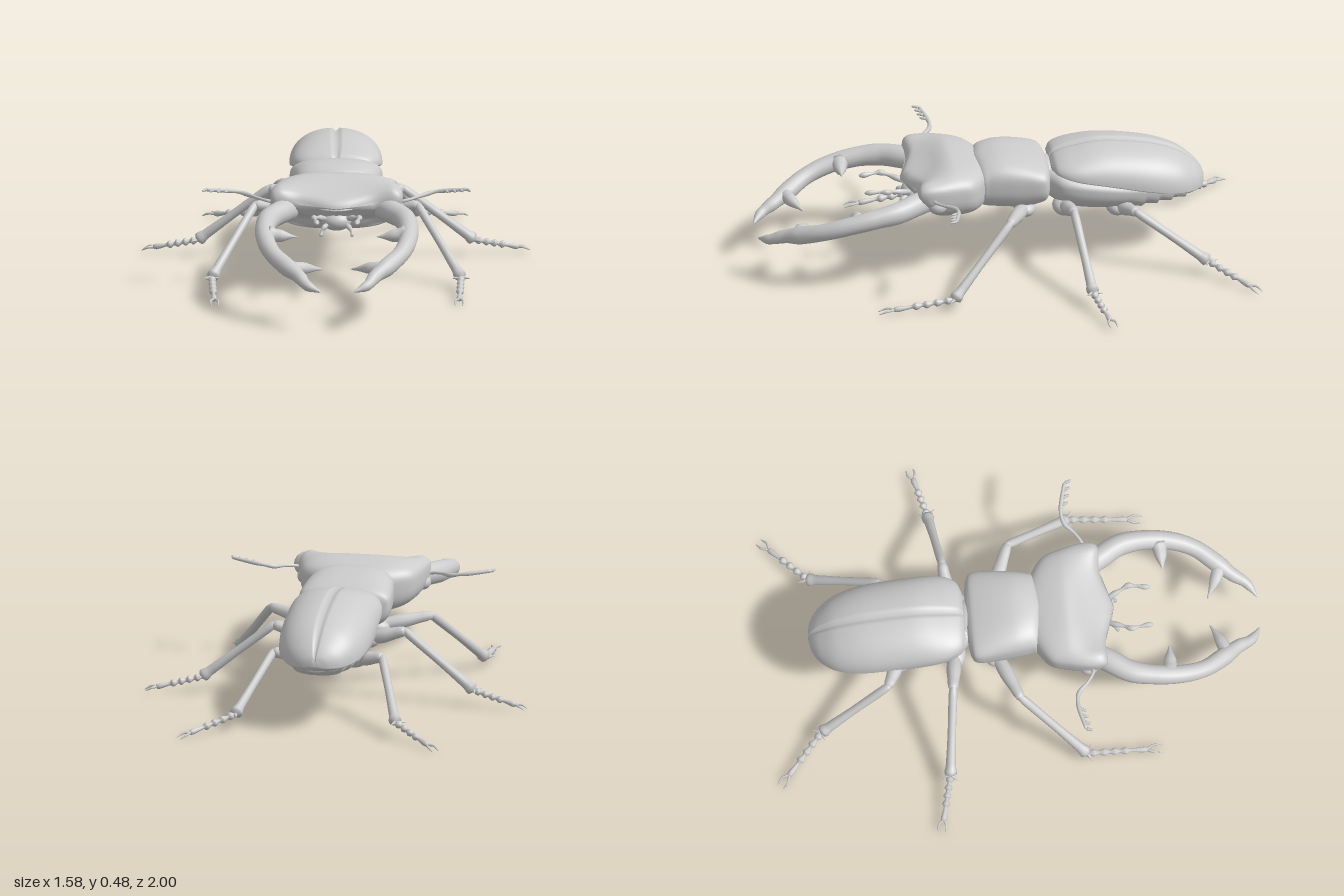
import * as THREE from 'three';
import { mergeVertices } from 'three/addons/utils/BufferGeometryUtils.js';

const material = new THREE.MeshStandardMaterial({ color: 0xcccccc, roughness: 0.7 });

function part(name, geometry) {
  const mesh = new THREE.Mesh(geometry, material);
  mesh.name = name;
  return mesh;
}

// Smooth body from rows [z, halfWidth, topY, midY, bottomY] in ascending z.
function loft(rows, { power = 0.85, steps = 48, sides = 56, deform = () => {} } = {}) {
  const spline = new THREE.CubicInterpolant(rows.map((_, i) => i), rows.flat(), 5, new Float32Array(5));
  const positions = [], index = [], p = new THREE.Vector3();
  const bend = (v) => Math.sign(v) * Math.pow(Math.abs(v) < 1e-9 ? 0 : Math.abs(v), power);
  const add = (x, y, z, mid) => { p.set(x, y, z); deform(p, mid); positions.push(p.x, p.y, p.z); };
  for (let i = 0; i <= steps; i++) {
    const [z, w, top, mid, bottom] = spline.evaluate((i / steps) * (rows.length - 1));
    for (let j = 0; j < sides; j++) {
      const a = (j / sides) * Math.PI * 2, s = bend(Math.sin(a));
      add(w * bend(Math.cos(a)), mid + s * (s > 0 ? top - mid : mid - bottom), z, mid);
    }
  }
  for (let i = 0; i < steps; i++) for (let j = 0; j < sides; j++) {
    const k = (j + 1) % sides, a = i * sides + j, b = i * sides + k;
    index.push(a, b, a + sides, b, b + sides, a + sides);
  }
  // end caps
  const first = rows[0], last = rows[rows.length - 1], c = (steps + 1) * sides;
  add(0, first[3], first[0], first[3]);
  add(0, last[3], last[0], last[3]);
  for (let j = 0; j < sides; j++) {
    const k = (j + 1) % sides;
    index.push(c, k, j, c + 1, steps * sides + j, steps * sides + k);
  }
  const g = new THREE.BufferGeometry();
  g.setAttribute('position', new THREE.Float32BufferAttribute(positions, 3));
  g.setIndex(index);
  g.computeVertexNormals();
  return g;
}

// Tube of varying thickness through points [x, y, z, radius], on side s (+1 left, -1 right).
function limb(s, points, sides = 10, stepsPer = 6) {
  const full = [...points];
  const curve = new THREE.CatmullRomCurve3(full.map(([x, y, z]) => new THREE.Vector3(s * x, y, z)), false, 'centripetal');
  const n = (full.length - 1) * stepsPer;
  let g = new THREE.TubeGeometry(curve, n, 1, sides);
  const pos = g.attributes.position, v = new THREE.Vector3(), c = new THREE.Vector3();
  for (let i = 0; i <= n; i++) {
    const t = curve.getUtoTmapping(i / n) * (full.length - 1);
    const k = Math.min(Math.floor(t), full.length - 2);
    let r = THREE.MathUtils.lerp(full[k][3], full[k + 1][3], THREE.MathUtils.smoothstep(t - k, 0, 1));
    if (i === 0 || i === n) r = 0.0004;
    curve.getPointAt(i / n, c);
    for (let j = 0; j <= sides; j++) {
      const id = i * (sides + 1) + j;
      v.fromBufferAttribute(pos, id).sub(c).multiplyScalar(r).add(c);
      pos.setXYZ(id, v.x, v.y, v.z);
    }
  }
  g.deleteAttribute('uv');
  g.deleteAttribute('normal');
  g = mergeVertices(g, 1e-5);
  g.computeVertexNormals();
  return g;
}

function ball(name, s, [x, y, z], [rx, ry, rz]) {
  const mesh = part(name, new THREE.SphereGeometry(1, 24, 16));
  mesh.position.set(s * x, y, z);
  mesh.scale.set(rx, ry, rz);
  return mesh;
}

const mix = (a, b, t) => a.map((v, i) => v + (b[i] - v) * t);

// Leg: coxa, femur, tibia with end spurs, beaded foot and two claws.
function leg(name, s, { coxa, knee, ankle, toe }) {
  const g = new THREE.Group();
  g.name = name;
  g.add(ball('coxa', s, coxa, [0.065, 0.035, 0.045]));
  g.add(part('femur', limb(s, [
    [...coxa, 0.024], [...mix(coxa, knee, 0.45), 0.03], [...mix(coxa, knee, 0.85), 0.023], [...mix(coxa, knee, 1.06), 0.016]])));
  g.add(part('tibia', limb(s, [
    [...mix(knee, ankle, -0.05), 0.012], [...mix(knee, ankle, 0.08), 0.018], [...mix(knee, ankle, 0.5), 0.017],
    [...mix(knee, ankle, 0.88), 0.02], [...mix(knee, ankle, 0.97), 0.027], [...mix(knee, ankle, 1.02), 0.018]])));
  // sideways direction of the foot, for spurs and claws
  const dir = new THREE.Vector3(toe[0] - ankle[0], 0, toe[2] - ankle[2]).normalize();
  const offset = (p, along, across, up) => [p[0] + dir.x * along - dir.z * across, p[1] + up, p[2] + dir.z * along + dir.x * across];
  for (const side of [-1, 1]) {
    g.add(part('spur', limb(s, [[...ankle, 0.012], [...offset(ankle, 0.02, side * 0.038, 0.0), 0.002]], 6)));
    g.add(part('claw', limb(s, [[...mix(ankle, toe, 0.78), 0.006],
      [...offset(mix(ankle, toe, 0.88), 0, side * 0.015, 0.004), 0.005], [...offset(toe, 0, side * 0.014, -0.004), 0.002]], 6)));
  }
  const beads = [];
  for (let i = 0; i < 4; i++) {
    const t = i * 0.14;
    beads.push([...mix(ankle, toe, t), 0.007], [...mix(ankle, toe, t + 0.09), 0.0165]);
  }
  beads.push([...mix(ankle, toe, 0.56), 0.007], [...mix(ankle, toe, 0.74), 0.012], [...mix(ankle, toe, 0.81), 0.009]);
  g.add(part('foot', limb(s, beads, 8, 4)));
  return g;
}

export function createModel() {
  const model = new THREE.Group();
  model.name = 'stagBeetle';
  const { smoothstep } = THREE.MathUtils;

  // wing cases with a seam groove along the middle
  model.add(part('wingCases', loft([
    [-0.837, 0.015, 0.305, 0.29, 0.285], [-0.825, 0.065, 0.335, 0.285, 0.27], [-0.79, 0.115, 0.375, 0.285, 0.265],
    [-0.72, 0.16, 0.425, 0.295, 0.28], [-0.6, 0.185, 0.465, 0.32, 0.3], [-0.42, 0.188, 0.487, 0.36, 0.34],
    [-0.3, 0.182, 0.472, 0.385, 0.365], [-0.23, 0.15, 0.45, 0.4, 0.39], [-0.205, 0.1, 0.425, 0.405, 0.4],
  ], { sides: 96, power: 0.9, deform: (p, mid) => { if (p.y > mid && Math.abs(p.x) < 0.003) p.y -= 0.014; } })));

  // underside of the rear body with overlapping plates
  model.add(part('abdomen', loft([
    [-0.81, 0.05, 0.3, 0.28, 0.265], [-0.77, 0.1, 0.32, 0.28, 0.245], [-0.65, 0.15, 0.34, 0.3, 0.23],
    [-0.5, 0.17, 0.36, 0.31, 0.212], [-0.35, 0.17, 0.38, 0.33, 0.215], [-0.25, 0.15, 0.4, 0.34, 0.235],
    [-0.19, 0.1, 0.41, 0.34, 0.27],
  ], { steps: 110, deform: (p, mid) => {
    if (p.z > -0.52 || p.y > mid) return;
    const f = ((-p.z - 0.52) / 0.06) % 1;
    p.y -= 0.014 * f * (1 - smoothstep(f, 0.85, 1)) * smoothstep(mid - p.y, 0, 0.03);
  } })));
  model.add(ball('neck', 1, [0, 0.345, -0.19], [0.1, 0.075, 0.06]));

  // thorax shield
  model.add(part('thorax', loft([
    [-0.195, 0.1, 0.41, 0.37, 0.31], [-0.185, 0.16, 0.425, 0.37, 0.285], [-0.16, 0.187, 0.442, 0.375, 0.265],
    [-0.08, 0.184, 0.465, 0.38, 0.245], [0, 0.175, 0.475, 0.38, 0.25], [0.06, 0.165, 0.465, 0.375, 0.255],
    [0.09, 0.155, 0.445, 0.37, 0.27], [0.1, 0.1, 0.42, 0.36, 0.3],
  ], { power: 0.72, deform: (p) => { p.z += 0.015 * smoothstep(p.z, 0, 0.1) * (1 - Math.abs(p.x) / 0.12); } })));

  // broad head: raised corners, sloping brow and a pointed front edge
  model.add(part('head', loft([
    [0.06, 0.1, 0.42, 0.37, 0.3], [0.08, 0.16, 0.44, 0.37, 0.27], [0.13, 0.225, 0.458, 0.38, 0.255],
    [0.2, 0.25, 0.47, 0.39, 0.25], [0.28, 0.267, 0.467, 0.4, 0.26], [0.34, 0.265, 0.46, 0.4, 0.275],
    [0.365, 0.24, 0.44, 0.385, 0.3], [0.375, 0.15, 0.41, 0.37, 0.33],
  ], { power: 0.7, deform: (p, mid) => {
    const x = Math.abs(p.x) / 0.26, front = smoothstep(p.z, 0.27, 0.37);
    if (p.y > mid) p.y -= 0.055 * smoothstep(p.z, 0.2, 0.36) * Math.max(0, 1 - x * x * 1.3) * smoothstep(p.y - mid, 0, 0.05);
    else p.z -= 0.05 * front * smoothstep(mid - p.y, 0, 0.08);
    p.z += front * (0.03 * Math.exp(-x * x * 14) - 0.015 * Math.exp(-((x - 0.62) ** 2) * 20));
  } })));
  model.add(ball('mouth', 1, [0, 0.31, 0.35], [0.06, 0.04, 0.05]));

  const legs = [
    ['frontLeg', { coxa: [0.11, 0.255, -0.09], knee: [0.33, 0.29, 0.0], ankle: [0.505, 0.05, 0.255], toe: [0.495, 0.01, 0.565] }],
    ['middleLeg', { coxa: [0.1, 0.245, -0.25], knee: [0.27, 0.295, -0.27], ankle: [0.56, 0.07, -0.305], toe: [0.785, 0.02, -0.36] }],
    ['hindLeg', { coxa: [0.09, 0.225, -0.47], knee: [0.225, 0.255, -0.53], ankle: [0.33, 0.065, -0.81], toe: [0.53, 0.008, -0.995] }],
  ];

  for (const s of [1, -1]) {
    const side = s > 0 ? 'left' : 'right';
    for (const [name, joints] of legs) model.add(leg(`${side} ${name}`, s, joints));

    // jaw: curved main blade, inner tooth and forked tip
    const jaw = new THREE.Group();
    jaw.name = `${side} jaw`;
    jaw.add(part('blade', limb(s, [
      [0.185, 0.35, 0.31, 0.045], [0.225, 0.35, 0.37, 0.047], [0.272, 0.342, 0.45, 0.045], [0.291, 0.328, 0.55, 0.04],
      [0.288, 0.302, 0.66, 0.037], [0.26, 0.27, 0.755, 0.035], [0.205, 0.237, 0.835, 0.037],
      [0.155, 0.212, 0.9, 0.028], [0.122, 0.187, 0.955, 0.021], [0.065, 0.168, 0.995, 0.005]], 16, 8)));
    jaw.add(part('tooth', limb(s, [[0.285, 0.315, 0.61, 0.04], [0.235, 0.312, 0.615, 0.027], [0.16, 0.308, 0.618, 0.003]])));
    jaw.add(part('fork', limb(s, [[0.19, 0.232, 0.85, 0.03], [0.145, 0.23, 0.835, 0.026], [0.055, 0.215, 0.79, 0.004]])));
    model.add(jaw);

    model.add(ball(`${side} eye`, s, [0.24, 0.345, 0.285], [0.035, 0.032, 0.038]));

    // elbowed antenna with a comb at the end
    const antenna = new THREE.Group();
    antenna.name = `${side} antenna`;
    antenna.add(part('stalk', limb(s, [
      [0.23, 0.37, 0.29, 0.01], [0.275, 0.38, 0.3, 0.007], [0.32, 0.387, 0.275, 0.006], [0.365, 0.393, 0.235, 0.01],
      [0.4, 0.4, 0.225, 0.007], [0.44, 0.405, 0.228, 0.009], [0.535, 0.416, 0.25, 0.007]], 8)));
    for (let i = 0; i < 4; i++) {
      const x = 0.44 + i * 0.03, z = 0.23 + i * 0.006;
      antenna.add(part('combTooth', limb(s, [[x, 0.406 + i * 0.003, z, 0.008], [x + 0.012, 0.406 + i * 0.003, z + 0.03, 0.005]], 6)));
    }
    model.add(antenna);

    // beaded feelers beside the mouth
    model.add(part(`${side} longFeeler`, limb(s, [
      [0.04, 0.32, 0.36, 0.008], [0.065, 0.335, 0.41, 0.013], [0.08, 0.345, 0.445, 0.007], [0.092, 0.35, 0.47, 0.013],
      [0.088, 0.35, 0.5, 0.006], [0.082, 0.348, 0.54, 0.012], [0.081, 0.346, 0.562, 0.006]], 8)));
    model.add(part(`${side} shortFeeler`, limb(s, [
      [0.03, 0.3, 0.36, 0.007], [0.05, 0.295, 0.4, 0.011], [0.06, 0.28, 0.41, 0.006], [0.064, 0.258, 0.42, 0.008]], 8)));
  }
  return model;
}
